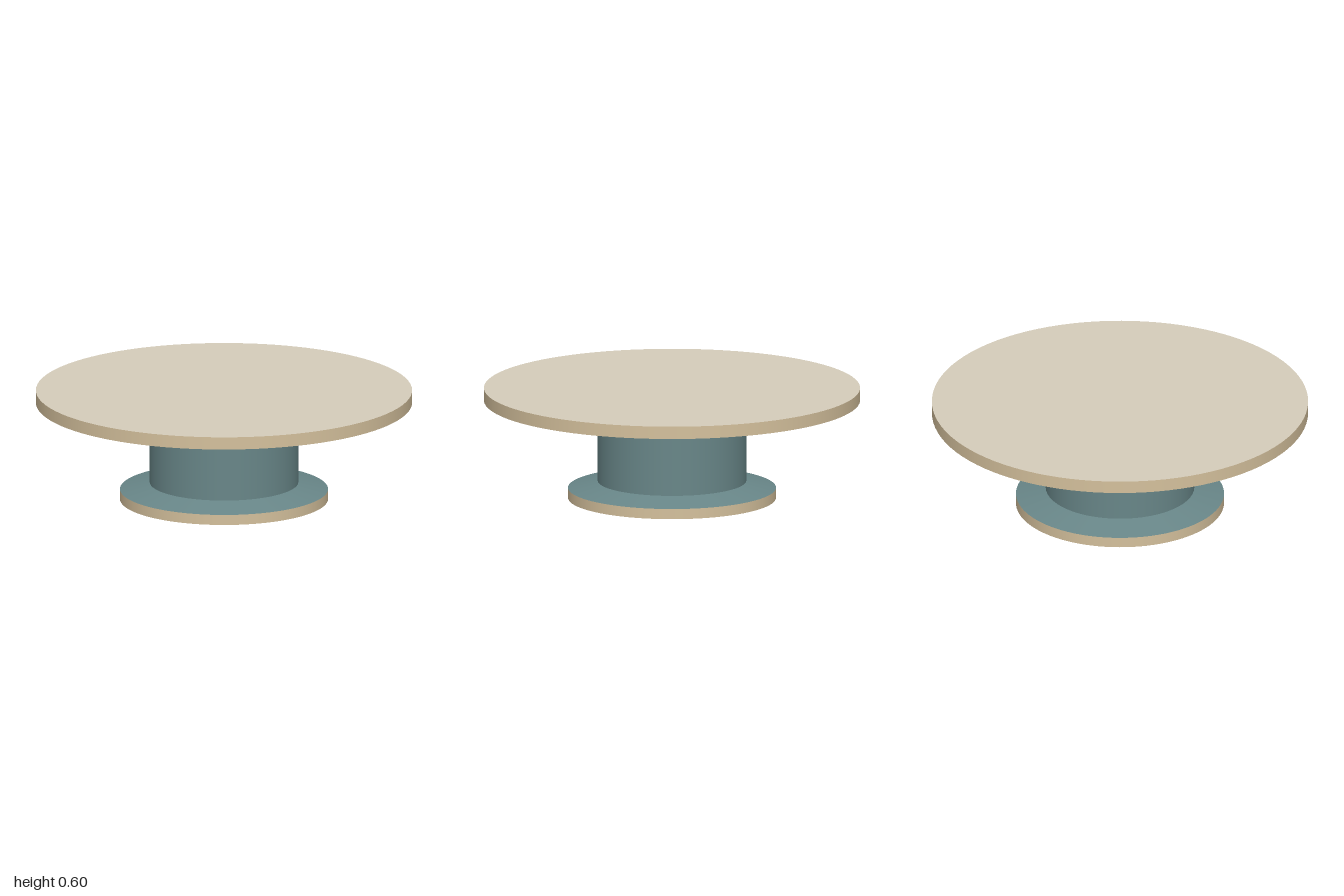
import * as THREE from 'three';

const SEGMENTS = 96;

function material(name, color) {
  const m = new THREE.MeshStandardMaterial({ color });
  m.name = name;
  return m;
}

export function createModel() {
  const tan = material('warm tan', 0xd4c09c);
  const teal = material('muted teal', 0x688688);
  const cream = material('pale cream', 0xd6cdbb);
  const group = new THREE.Group();
  group.name = 'pedestalTable';

  // Round section between two heights; materials are [side, top, bottom]
  function section(name, rTop, rBottom, y0, y1, materials, open = false) {
    const geometry = new THREE.CylinderGeometry(rTop, rBottom, y1 - y0, SEGMENTS, 1, open);
    const mesh = new THREE.Mesh(geometry, materials);
    mesh.name = name;
    mesh.position.y = (y0 + y1) / 2;
    group.add(mesh);
  }

  // Foot disc and the sloped collar above it
  section('footDisc', 0.553, 0.553, 0, 0.055, tan);
  section('footCollar', 0.395, 0.553, 0.055, 0.093, teal, true);

  // Central column
  section('column', 0.395, 0.395, 0.093, 0.478, teal, true);

  // Shallow cone supporting the top
  section('topSupport', 0.92, 0.395, 0.478, 0.53, teal, true);

  // Table top: tan rim and underside, cream upper surface
  section('tableTop', 1, 1, 0.53, 0.597, [tan, cream, tan]);

  return group;
}
